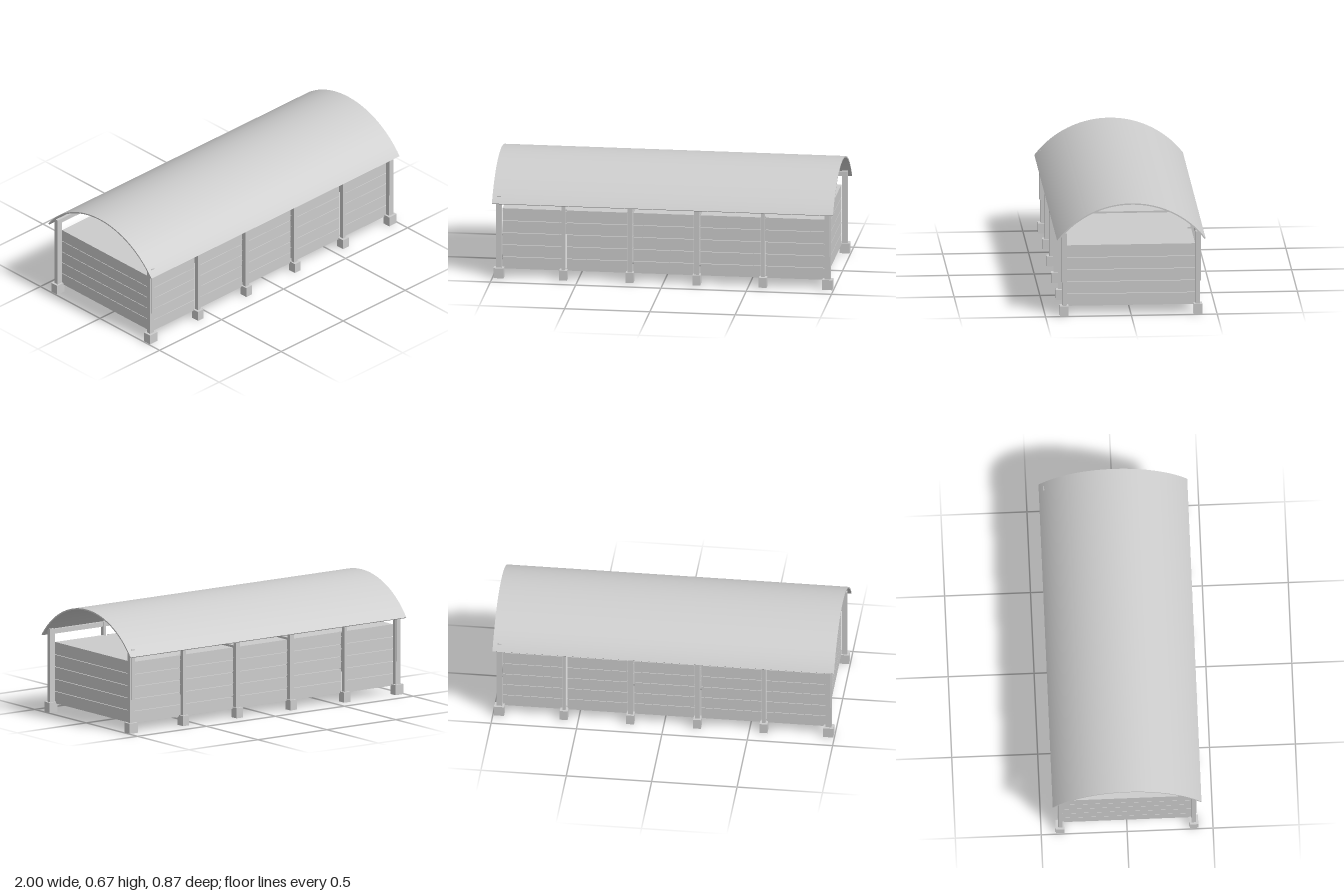
import * as THREE from 'three';
import { toCreasedNormals } from 'three/addons/utils/BufferGeometryUtils.js';

const grey = new THREE.MeshStandardMaterial({ color: 0xcccccc });
grey.name = 'light grey';

export function createModel() {
  const root = new THREE.Group();
  root.name = 'coveredStorageBins';

  // Box given by its minimum and maximum corners
  const box = (name, x0, x1, y0, y1, z0, z1, parent = root) => {
    const mesh = new THREE.Mesh(new THREE.BoxGeometry(x1 - x0, y1 - y0, z1 - z0), grey);
    mesh.position.set((x0 + x1) / 2, (y0 + y1) / 2, (z0 + z1) / 2);
    mesh.name = name;
    parent.add(mesh);
  };

  // Curved roof sheet
  const R = 0.541, T = 0.008, CY = 0.132, A = Math.asin(0.433 / R);
  const arc = new THREE.Shape();
  arc.absarc(0, CY, R, Math.PI / 2 - A, Math.PI / 2 + A, false);
  arc.absarc(0, CY, R - T, Math.PI / 2 + A, Math.PI / 2 - A, true);
  arc.closePath();
  let roofGeo = new THREE.ExtrudeGeometry(arc, { depth: 2, bevelEnabled: false, curveSegments: 48 });
  roofGeo.translate(0, 0, -1).rotateY(Math.PI / 2);
  roofGeo = toCreasedNormals(roofGeo, 0.5);
  const roof = new THREE.Mesh(roofGeo, grey);
  roof.name = 'roof';
  root.add(roof);

  // Posts on square footings, both long sides
  const posts = [[-0.964, 0.034, 0.06], [-0.585, 0.02, 0.046], [-0.196, 0.028, 0.046],
    [0.196, 0.028, 0.046], [0.585, 0.02, 0.046], [0.964, 0.034, 0.06]];
  for (const s of [-1, 1]) {
    const zs = (a, b) => (s > 0 ? [a, b] : [-b, -a]);
    for (const [x, w, f] of posts) {
      box('post', x - w / 2, x + w / 2, 0.05, 0.493, ...zs(0.375, 0.4));
      box('footing', x - f / 2, x + f / 2, 0, 0.06, ...zs(0.365, 0.415));
    }
    // Eave beam and thin strips on the corner posts
    box('eaveBeam', -0.96, 0.96, 0.462, 0.49, ...zs(0.379, 0.397));
    for (const e of [-1, 1]) {
      const top = e * s < 0 ? 0.495 : 0.485;
      box('cornerStrip', e * 0.962 - 0.0125, e * 0.962 + 0.0125, 0.197, top, ...zs(0.4, 0.406));
    }
  }

  // Three plank bins; the outer two have a joint behind the intermediate post
  const bins = [
    [[-0.945, -0.598], [-0.568, -0.216]],
    [[-0.176, 0.176]],
    [[0.216, 0.568], [0.598, 0.945]],
  ];
  const pitch = 0.0727, wall = 0.02, gap = 0.003;
  for (const panels of bins) {
    const bin = new THREE.Group();
    bin.name = 'bin';
    root.add(bin);
    const x0 = panels[0][0], x1 = panels[panels.length - 1][1];
    for (let i = 0; i < 5; i++) {
      const y0 = 0.05 + i * pitch, y1 = y0 + pitch - (i < 4 ? gap : 0);
      for (const [a, b] of panels) {
        box('frontPlank', a, b, y0, y1, 0.355, 0.375, bin);
        box('backPlank', a, b, y0, y1, -0.375, -0.355, bin);
      }
      box('endPlank', x0, x0 + wall, y0, y1, -0.355, 0.355, bin);
      box('endPlank', x1 - wall, x1, y0, y1, -0.355, 0.355, bin);
    }
    // Floor and cover between the walls
    box('floor', x0 + wall, x1 - wall, 0.05, 0.06, -0.355, 0.355, bin);
    box('cover', x0 + wall, x1 - wall, 0.403, 0.4135, -0.355, 0.355, bin);
  }
  return root;
}
